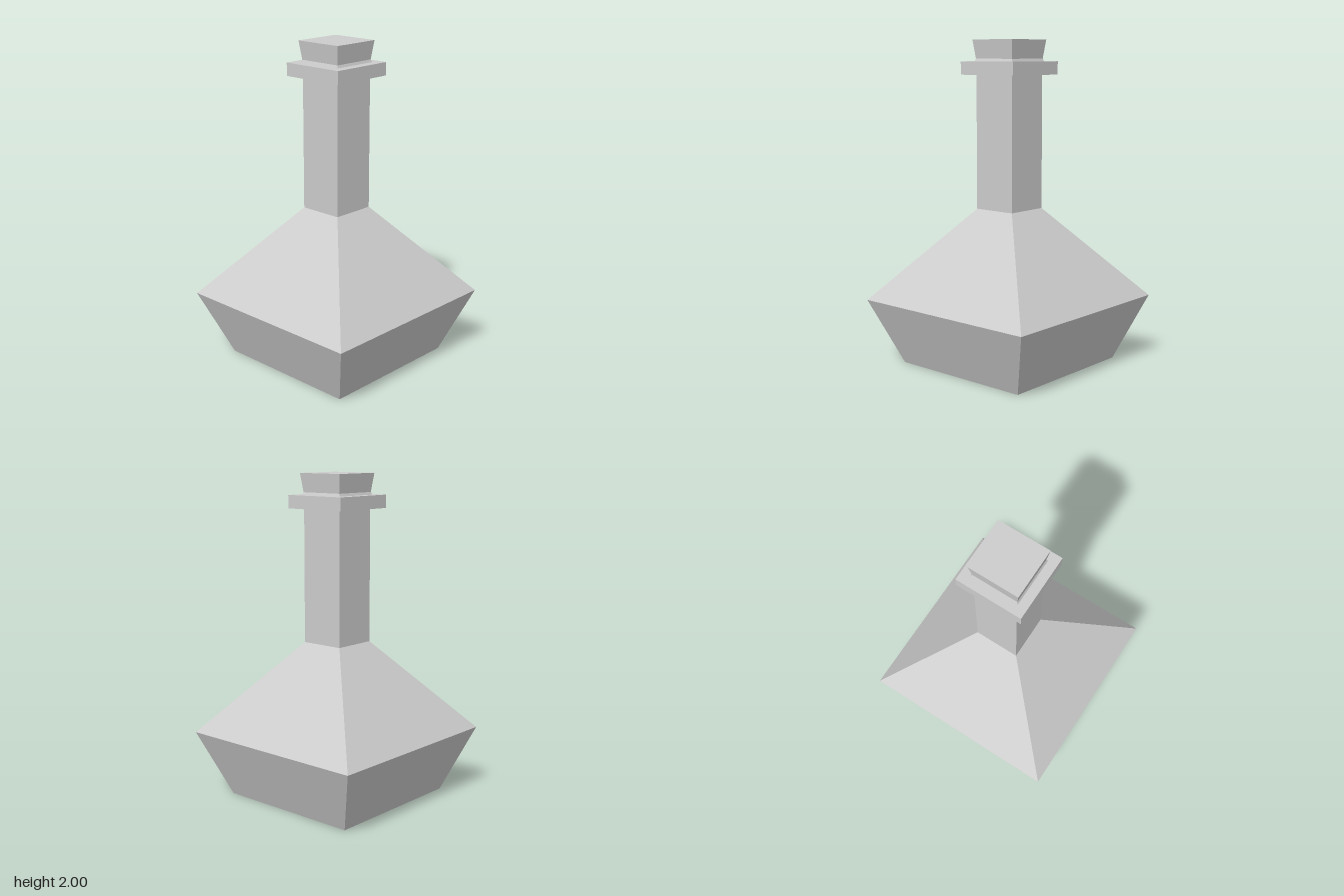
import * as THREE from 'three';

// Square frustum standing on y0, with half widths at its bottom and top
function frustum(name, material, y0, y1, bottom, top, open = false) {
  const h = y1 - y0;
  const geo = new THREE.CylinderGeometry(top * Math.SQRT2, bottom * Math.SQRT2, h, 4, 1, open)
    .rotateY(Math.PI / 4)
    .translate(0, y0 + h / 2, 0)
    .toNonIndexed();
  geo.computeVertexNormals(); // crisp flat faces
  const mesh = new THREE.Mesh(geo, material);
  mesh.name = name;
  return mesh;
}

export function createModel() {
  const model = new THREE.Group();
  model.name = 'squareBottle';
  const grey = new THREE.MeshStandardMaterial({ color: 0xcccccc });
  grey.name = 'light grey';

  // Bottle: flared base, sloping shoulder, straight neck and lip
  const bottle = new THREE.Group();
  bottle.name = 'bottle';
  bottle.add(
    frustum('base', grey, 0, 0.405, 0.465, 0.625),
    frustum('shoulder', grey, 0.405, 0.97, 0.625, 0.141, true),
    frustum('neck', grey, 0.97, 1.79, 0.141, 0.141, true),
    frustum('lip', grey, 1.79, 1.87, 0.208, 0.208),
  );

  // Stopper: small flared foot below a block that widens upward
  const stopper = new THREE.Group();
  stopper.name = 'stopper';
  stopper.add(
    frustum('stopperFoot', grey, 1.87, 1.886, 0.15, 0.143, true),
    frustum('stopperHead', grey, 1.886, 2, 0.143, 0.158),
  );

  model.add(bottle, stopper);
  return model;
}
